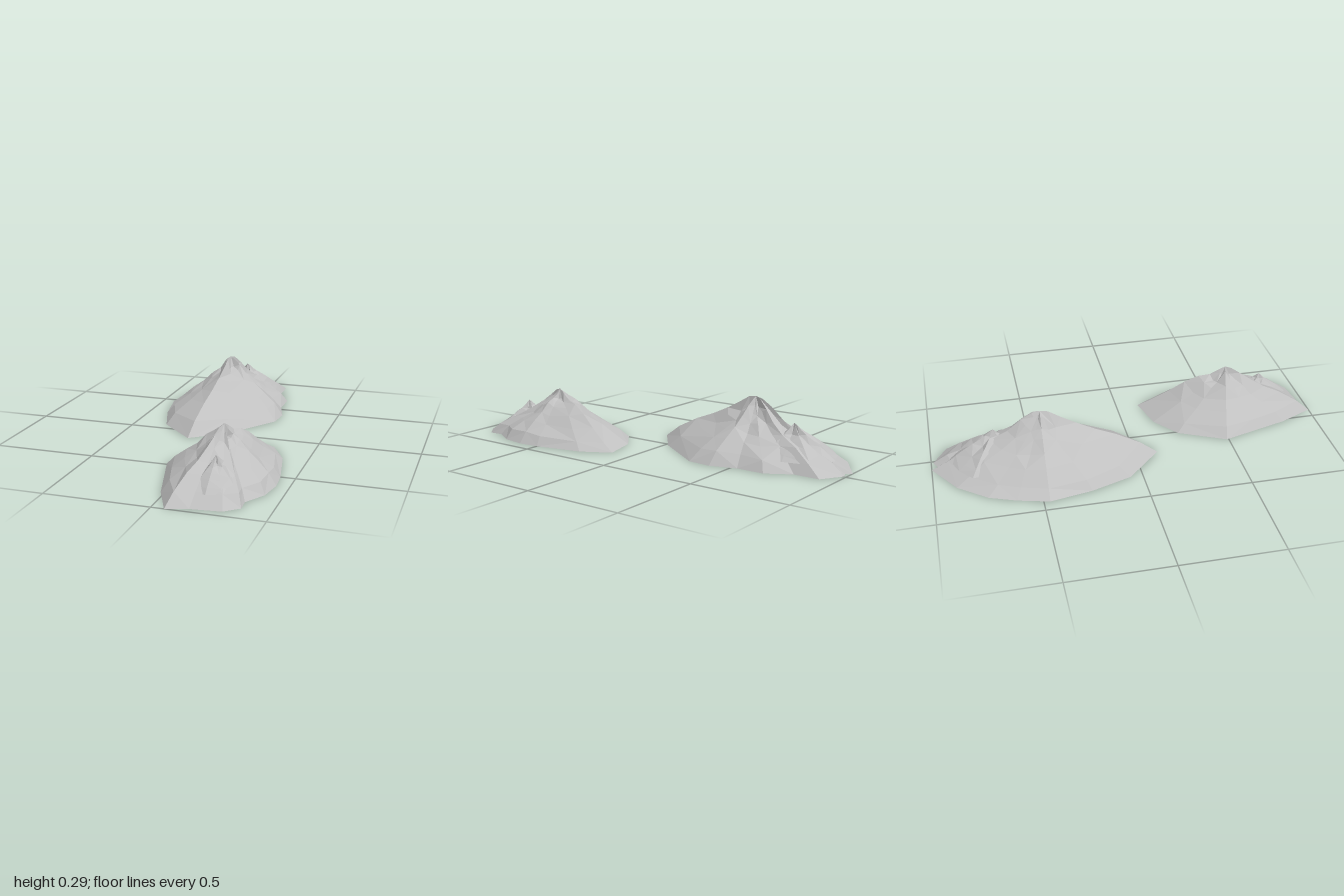
import * as THREE from 'three';

// Distance fractions of the rings between summit and foot
const RINGS = [0.07, 0.17, 0.3, 0.46, 0.64, 0.85, 1];
const SPUR = [0.93, 0.8, 0.67, 0.54, 0.38, 0.17, 0];

function seeded(seed) {
  return () => {
    seed = (seed * 16807) % 2147483647;
    return seed / 2147483647 - 0.5;
  };
}

// Height profile of a spoke: a ridge has its own, a flank blends the ridges on either side
function profileOf(spokes, i) {
  const n = spokes.length;
  const shape = spokes[i][2];
  if (Array.isArray(shape)) return shape;
  let back = 1, ahead = 1;
  while (!Array.isArray(spokes[(i - back + n) % n][2])) back++;
  while (!Array.isArray(spokes[(i + ahead) % n][2])) ahead++;
  const before = spokes[(i - back + n) % n][2];
  const after = spokes[(i + ahead) % n][2];
  return before.map((h, r) => shape * THREE.MathUtils.lerp(h, after[r], back / (back + ahead)));
}

// Open shell lofted from a summit down to a foot outline.
// Each spoke is [x, z, ridge heights or flank fullness].
function shell(name, material, peak, footY, spokes, seed) {
  const rand = seeded(seed);
  const [px, py, pz] = peak;
  const n = spokes.length;
  const profiles = spokes.map((_, i) => profileOf(spokes, i));
  const positions = [px, py, pz];
  RINGS.forEach((t, r) => {
    spokes.forEach(([x, z, shape], i) => {
      const rough = t === 1 || Array.isArray(shape) ? 0 : 0.1;
      const s = t * (1 + rough * rand());
      const h = Math.min(profiles[i][r] * (1 + rough * rand()), 0.98);
      positions.push(px + (x - px) * s, footY + (py - footY) * h, pz + (z - pz) * s);
    });
  });
  const index = [];
  for (let i = 0; i < n; i++) {
    const j = (i + 1) % n;
    index.push(0, 1 + i, 1 + j);
    for (let r = 0; r < RINGS.length - 1; r++) {
      const a = 1 + r * n + i, b = 1 + r * n + j;
      const c = a + n, d = b + n;
      if ((i + r) % 2) index.push(a, c, d, a, d, b);
      else index.push(a, c, b, b, c, d);
    }
  }
  const indexed = new THREE.BufferGeometry();
  indexed.setAttribute('position', new THREE.Float32BufferAttribute(positions, 3));
  indexed.setIndex(index);
  const geometry = indexed.toNonIndexed();
  geometry.computeVertexNormals();
  const mesh = new THREE.Mesh(geometry, material);
  mesh.name = name;
  return mesh;
}

export function createModel() {
  const group = new THREE.Group();
  group.name = 'mountains';
  const rock = new THREE.MeshStandardMaterial({ color: 0xc0c0c0 });
  rock.name = 'greyRock';
  rock.flatShading = true;
  rock.side = THREE.DoubleSide;

  // Rear mountain, outline from the back round by the right side
  group.add(shell('rearMountain', rock, [-0.1, 0.29, -0.46], 0, [
    [-0.07, -1, [0.97, 0.86, 0.66, 0.5, 0.37, 0.15, 0]],
    [-0.24, -0.89, 0.92], [-0.35, -0.75, 0.9], [-0.4, -0.62, 0.92],
    [-0.44, -0.47, [0.95, 0.77, 0.67, 0.49, 0.34, 0.13, 0]],
    [-0.4, -0.26, 0.92], [-0.33, -0.06, 0.92],
    [-0.15, 0.115, [0.98, 0.86, 0.72, 0.57, 0.43, 0.22, 0]],
    [0.02, -0.02, 0.88], [0.2, -0.28, 0.88],
    [0.21, -0.4, [0.95, 0.86, 0.71, 0.55, 0.4, 0.22, 0]],
    [0.17, -0.53, 0.87], [0.17, -0.67, 0.86], [0.1, -0.79, 0.9],
    [0.1, -0.92, 0.97], [-0.01, -0.99, 0.93], [-0.05, -0.97, 0.86],
  ], 17));

  // Lower summit behind the rear peak
  group.add(shell('rearSpur', rock, [-0.07, 0.195, -0.69], 0.045, [
    [-0.07, -0.91, SPUR], [-0.17, -0.87, 0.8], [-0.24, -0.81, SPUR], [-0.24, -0.66, 0.8],
    [-0.2, -0.5, 0.9], [-0.06, -0.45, 0.85], [0.05, -0.52, 0.9], [0.09, -0.61, SPUR],
    [0.09, -0.72, 0.85], [0.06, -0.85, SPUR], [-0.02, -0.89, 0.8],
  ], 91));

  // Front mountain
  group.add(shell('frontMountain', rock, [0.185, 0.25, 0.56], 0, [
    [0.3, 0.115, [0.93, 0.81, 0.76, 0.61, 0.38, 0.14, 0]],
    [0.12, 0.16, 0.92], [-0.01, 0.26, 0.9],
    [-0.12, 0.49, [0.93, 0.84, 0.74, 0.53, 0.38, 0.19, 0]],
    [-0.07, 0.66, 0.9], [-0.02, 0.83, 0.9],
    [0.06, 1, [0.97, 0.86, 0.71, 0.55, 0.43, 0.22, 0]],
    [0.16, 0.97, 0.92], [0.3, 0.955, 0.91], [0.365, 0.9, 0.91], [0.36, 0.83, 0.91], [0.42, 0.73, 0.9],
    [0.44, 0.61, [0.9, 0.83, 0.75, 0.57, 0.42, 0.22, 0]],
    [0.43, 0.5, 0.92], [0.38, 0.26, 0.92],
  ], 43));

  // Lower summit in front of the front peak
  group.add(shell('frontSpur', rock, [0.21, 0.17, 0.76], 0.045, [
    [0.3, 0.6, SPUR], [0.2, 0.57, 0.85], [0.1, 0.63, SPUR], [0.09, 0.77, 0.85],
    [0.14, 0.88, SPUR], [0.21, 0.91, SPUR], [0.28, 0.89, 0.9], [0.33, 0.84, SPUR], [0.34, 0.72, 0.85],
  ], 29));

  return group;
}
